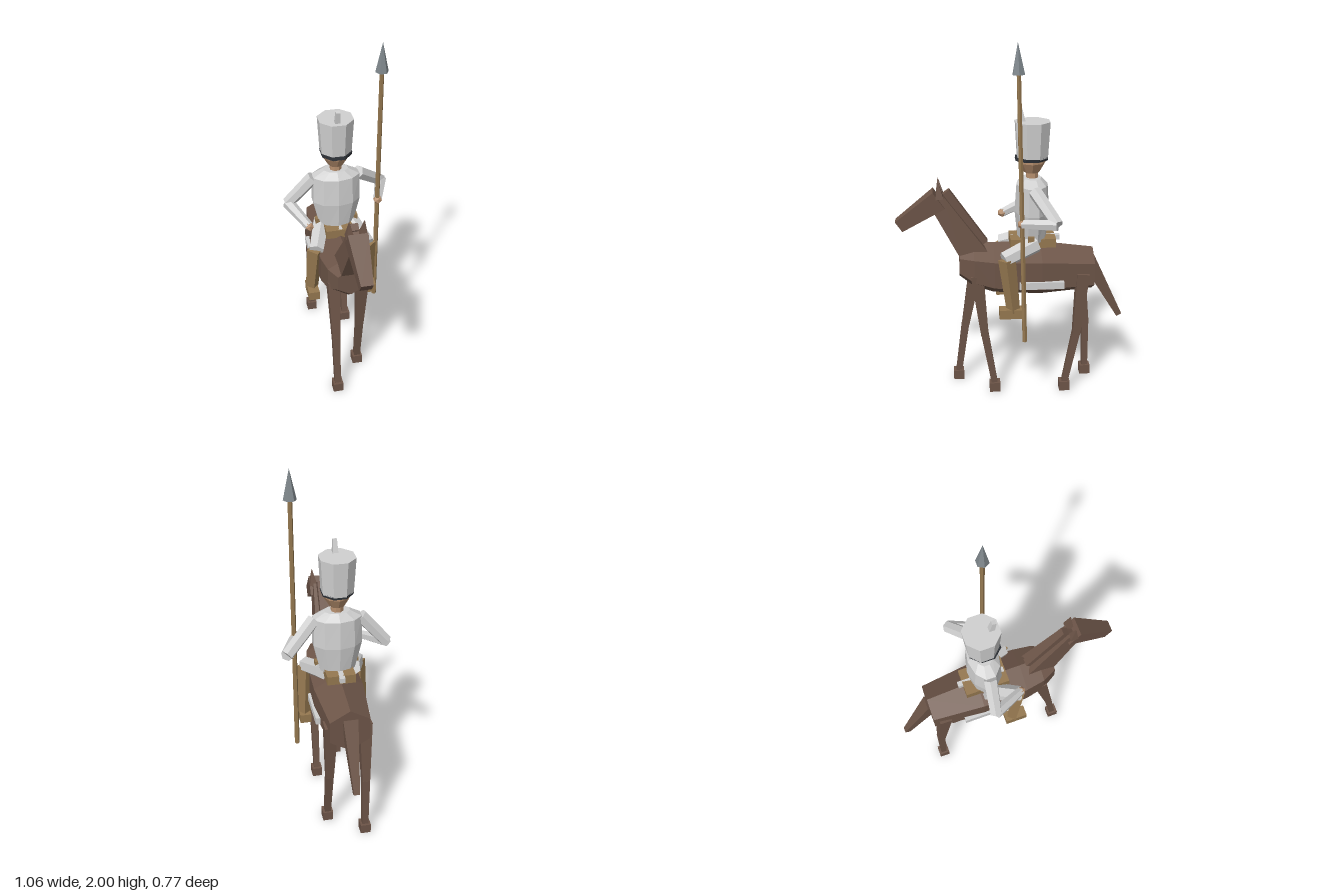
import * as THREE from 'three';

const paint = (name, color) => {
  const m = new THREE.MeshStandardMaterial({ color });
  m.name = name;
  return m;
};

export function createModel() {
  const brown = paint('horse brown', 0x6d5548);
  const cloth = paint('light cloth', 0xd0d0d0);
  const tan = paint('leather tan', 0x957850);
  const skin = paint('skin', 0xb8906f);
  const steel = paint('steel', 0x7f878c);
  const dark = paint('dark visor', 0x2e3238);

  const model = new THREE.Group();
  model.name = 'mountedLancer';
  // Everything is built facing +z, then turned with this group
  const horseAndRider = new THREE.Group();
  horseAndRider.name = 'horseAndRider';
  horseAndRider.rotation.y = THREE.MathUtils.degToRad(55);
  model.add(horseAndRider);

  // Faceted mesh
  const add = (name, geometry, material) => {
    const g = geometry.index ? geometry.toNonIndexed() : geometry;
    g.computeVertexNormals();
    const mesh = new THREE.Mesh(g, material);
    mesh.name = name;
    horseAndRider.add(mesh);
    return mesh;
  };
  const box = (name, material, size, pos) => {
    const mesh = add(name, new THREE.BoxGeometry(...size), material);
    mesh.position.set(...pos);
    return mesh;
  };
  // Tapered prism from point a to point b (four sides: r is half the width)
  const limb = (name, material, a, b, ra, rb, sides = 4, squash = 1) => {
    const from = new THREE.Vector3(...a), to = new THREE.Vector3(...b);
    const k = sides === 4 ? Math.SQRT2 : 1;
    const g = new THREE.CylinderGeometry(rb * k, ra * k, from.distanceTo(to), sides, 1, false, Math.PI / sides);
    g.scale(squash, 1, 1);
    const mesh = add(name, g, material);
    mesh.position.copy(from).add(to).multiplyScalar(0.5);
    mesh.quaternion.setFromUnitVectors(new THREE.Vector3(0, 1, 0), to.sub(from).normalize());
    return mesh;
  };
  // Upright loft through rings [y, z centre, x radius, z radius], top first
  const loft = (rings, sides, start = 0) => {
    const n = rings.length - 1;
    const g = new THREE.CylinderGeometry(1, 1, 1, sides, n, false, start);
    const p = g.attributes.position;
    for (let i = 0; i < p.count; i++) {
      const [y, c, rx, rz] = rings[Math.round((0.5 - p.getY(i)) * n)];
      p.setXYZ(i, p.getX(i) * rx, y, p.getZ(i) * rz + c);
    }
    return g;
  };

  // Horse barrel: hexagonal sections laid along z
  const barrel = [[0.28, 0.77, 0.085], [0.2, 0.748, 0.13], [0.09, 0.73, 0.15], [-0.17, 0.72, 0.158], [-0.465, 0.713, 0.125]]
    .map(([z, y, r]) => [z, -y, r, r]);
  add('horseBody', loft(barrel, 6).rotateX(Math.PI / 2), brown);

  // Horse neck, head, mane, ears and tail
  limb('horseNeck', brown, [0, 0.8, 0.185], [0, 1.14, 0.4], 0.075, 0.045, 4, 0.8);
  limb('horseHead', brown, [0, 1.14, 0.385], [0, 0.99, 0.605], 0.056, 0.034, 4, 0.95);
  limb('mane', brown, [0, 0.88, 0.14], [0, 1.18, 0.345], 0.022, 0.02);
  for (const s of [-1, 1]) limb('ear', brown, [s * 0.035, 1.15, 0.38], [s * 0.04, 1.245, 0.388], 0.022, 0.001);
  limb('tail', brown, [0, 0.77, -0.44], [0, 0.42, -0.628], 0.04, 0.016);

  // Horse legs: side, z of hip, knee and hoof
  for (const [name, x, hip, knee, hoof] of [
    ['frontLeftLeg', 0.08, 0.185, 0.145, 0.09], ['frontRightLeg', -0.08, 0.185, 0.25, 0.294],
    ['hindLeftLeg', 0.093, -0.4, -0.37, -0.308], ['hindRightLeg', -0.093, -0.4, -0.447, -0.453],
  ]) {
    limb(name + 'Upper', brown, [x, 0.72, hip], [x, 0.35, knee], 0.035, 0.021);
    limb(name + 'Lower', brown, [x, 0.36, knee], [x, 0.04, hoof], 0.021, 0.017);
    box(name + 'Hoof', brown, [0.057, 0.055, 0.06], [x, 0.0275, hoof]);
  }

  // Saddle, cloth band, strap and belt pouches
  box('saddleCloth', cloth, [0.3, 0.04, 0.245], [0, 0.67, -0.168]);
  box('saddle', tan, [0.155, 0.05, 0.25], [0, 0.892, -0.125]);
  box('saddleStrap', cloth, [0.03, 0.028, 0.27], [0, 0.903, -0.142]);
  for (const s of [-1, 1]) box('beltPouch', tan, [0.03, 0.07, 0.035], [s * 0.105, 0.91, -0.11]);

  // Rider torso, neck and head
  add('torso', loft([
    [1.25, -0.122, 0.07, 0.05], [1.215, -0.122, 0.135, 0.085], [1.06, -0.122, 0.138, 0.095], [0.9, -0.122, 0.1, 0.078],
  ], 10), cloth);
  limb('riderNeck', skin, [0, 1.23, -0.122], [0, 1.3, -0.122], 0.034, 0.034, 8);
  add('riderHead', loft([[1.39, -0.12, 0.078, 0.078], [1.335, -0.12, 0.074, 0.074], [1.28, -0.12, 0.042, 0.042]], 8), skin);

  // Tall hat with visor and plume
  add('hat', loft([[1.558, -0.122, 0.1, 0.1], [1.362, -0.122, 0.088, 0.088]], 8, Math.PI / 8), cloth);
  add('visor', loft([[1.367, -0.118, 0.091, 0.092], [1.35, -0.116, 0.087, 0.093]], 8, Math.PI / 8), dark);
  limb('plume', cloth, [0, 1.53, -0.075], [0, 1.625, -0.056], 0.016, 0.011);

  // Rider legs
  for (const s of [-1, 1]) {
    const side = s > 0 ? 'left' : 'right';
    limb(side + 'Thigh', cloth, [s * 0.08, 0.895, -0.14], [s * 0.145, 0.828, 0.04], 0.05, 0.045, 6);
    limb(side + 'Boot', tan, [s * 0.148, 0.83, 0.025], [s * 0.165, 0.53, -0.01], 0.034, 0.026);
    box(side + 'Foot', tan, [0.062, 0.052, 0.125], [s * 0.165, 0.525, 0.005]);
  }

  // Rider arms: shoulder, elbow, hand
  for (const [side, shoulder, elbow, hand] of [
    ['right', [-0.125, 1.205, -0.125], [-0.265, 1.045, -0.145], [-0.178, 0.99, 0.03]],
    ['left', [0.125, 1.205, -0.125], [0.285, 1.07, -0.229], [0.223, 1.058, -0.05]],
  ]) {
    limb(side + 'UpperArm', cloth, shoulder, elbow, 0.038, 0.034, 6);
    limb(side + 'Forearm', cloth, elbow, hand, 0.034, 0.025, 6);
    add(side + 'Hand', new THREE.IcosahedronGeometry(0.026, 0), skin).position.set(...hand);
  }

  // Lance
  limb('lanceShaft', tan, [0.22, 0.375, -0.068], [0.22, 1.86, -0.03], 0.014, 0.012, 6);
  limb('lancePoint', steel, [0.22, 1.842, -0.03], [0.22, 2.0, -0.025], 0.035, 0.0005, 6);

  return model;
}
